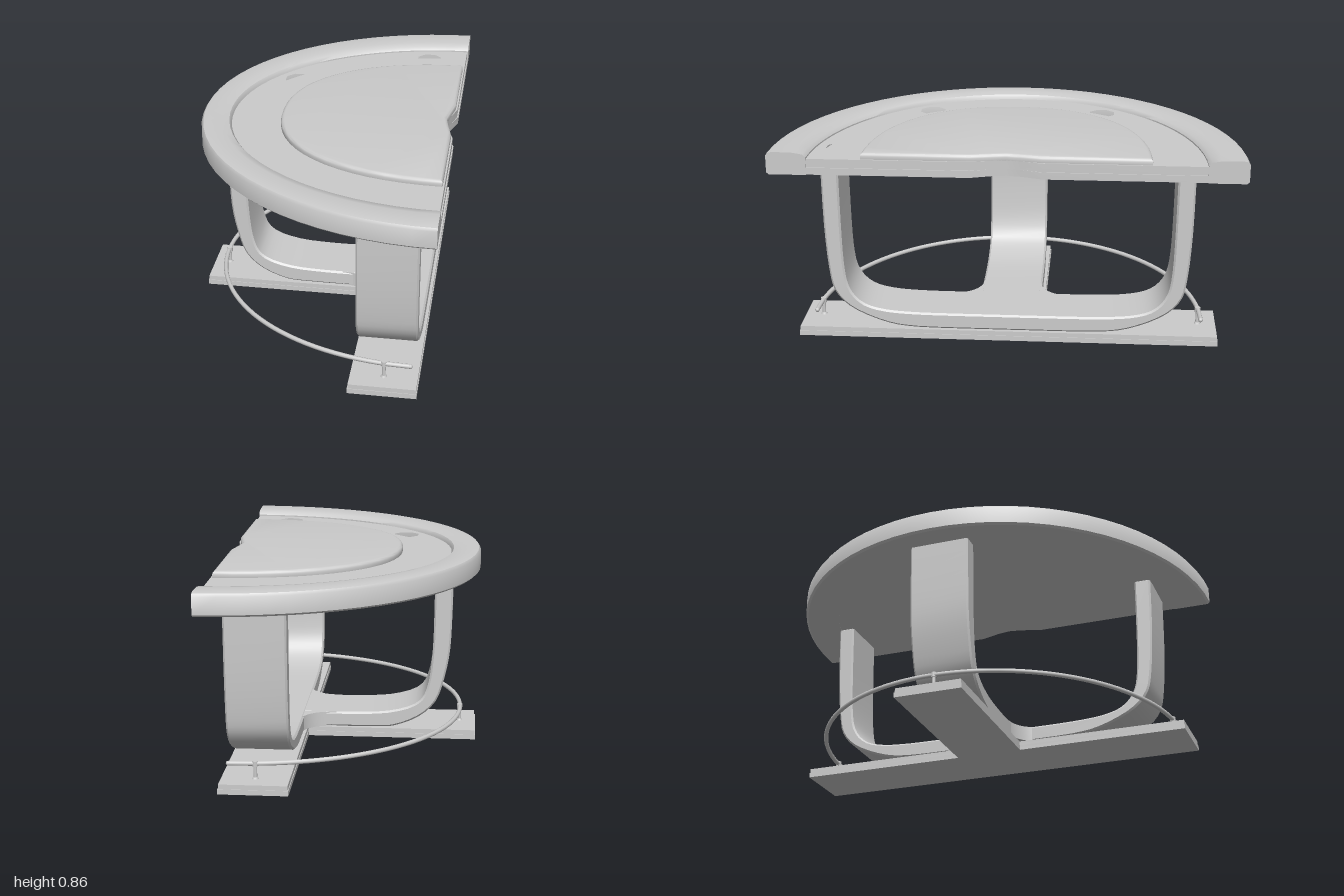
import * as THREE from 'three';
import { toCreasedNormals } from 'three/addons/utils/BufferGeometryUtils.js';

const material = new THREE.MeshStandardMaterial({ color: 0xcccccc });
const EDGE = 0.56; // x of the straight edge
const V = (x, y) => new THREE.Vector2(x, y);

// point on a half (super)ellipse bulging towards -x
function arcPoint(rx, rz, t, n = 2) {
  const c = Math.max(0, Math.cos(t)), s = Math.sin(t);
  return V(EDGE - rx * c ** (2 / n), Math.sign(s) * rz * Math.abs(s) ** (2 / n));
}

// half-moon outline with a shallow scoop in the straight edge
function halfMoon(rx, rz, n, edge = EDGE) {
  const pts = [];
  for (let i = 0; i <= 32; i++) {
    const p = arcPoint(rx, rz, (i / 32 - 0.5) * Math.PI, n);
    pts.push(V(Math.min(p.x, edge), p.y));
  }
  for (const [x, z] of [[edge, 0.15], [0.53, 0.06], [0.52, 0], [0.53, -0.06], [edge, -0.15]]) {
    pts.push(V(x, z));
  }
  return new THREE.Shape(pts);
}

// extrude a plan shape upwards from y0 to y1
function slab(shape, y0, y1, bevel = 0) {
  const geo = new THREE.ExtrudeGeometry(shape, {
    depth: y1 - y0 - bevel, bevelEnabled: bevel > 0, bevelSize: bevel,
    bevelThickness: bevel, bevelOffset: -bevel, bevelSegments: 3,
  });
  geo.rotateX(-Math.PI / 2).translate(0, y0, 0);
  return toCreasedNormals(geo, 0.6);
}

// sweep a [rx, rz, y] profile round the half ellipse and cap both ends
function sweptRail(profile, segs) {
  const pos = [], index = [], m = profile.length;
  for (let i = 0; i <= segs; i++) {
    for (const [rx, rz, y] of profile) {
      const p = arcPoint(rx, rz, (i / segs - 0.5) * Math.PI);
      pos.push(p.x, y, p.y);
    }
  }
  for (let i = 0; i < segs; i++) {
    for (let j = 0; j < m; j++) {
      const a = i * m + j, d = i * m + (j + 1) % m;
      index.push(a, a + m, d + m, a, d + m, d);
    }
  }
  const last = segs * m;
  for (let j = 1; j < m - 1; j++) {
    index.push(0, j, j + 1, last, last + j + 1, last + j);
  }
  const geo = new THREE.BufferGeometry();
  geo.setAttribute('position', new THREE.Float32BufferAttribute(pos, 3));
  geo.setIndex(index);
  return toCreasedNormals(geo, 0.7);
}

// bent flat strap from its side outline
function strap(points, width) {
  const geo = new THREE.ExtrudeGeometry(new THREE.Shape(points), {
    depth: width - 0.016, bevelSize: 0.008, bevelThickness: 0.008, bevelOffset: -0.008, bevelSegments: 1,
  });
  geo.translate(0, 0, -width / 2 + 0.008);
  return toCreasedNormals(geo, 0.6);
}

const smooth = (pts, n = 22) => new THREE.SplineCurve(pts.map(p => V(...p))).getPoints(n);

export function createModel() {
  const group = new THREE.Group();
  const add = (name, geo, x = 0, y = 0, z = 0) => {
    const mesh = new THREE.Mesh(geo, material);
    mesh.name = name;
    mesh.position.set(x, y, z);
    group.add(mesh);
    return mesh;
  };

  // table top: underside, recessed band with cup wells, raised centre, padded rim
  add('tableUnderside', slab(halfMoon(1.1, 0.985, 2), 0.765, 0.795));
  const band = halfMoon(1.02, 0.86, 2.1, 0.555);
  for (const [x, z] of [[0.38, 0.72], [0.38, -0.72], [-0.21, 0.39], [-0.21, -0.39]]) {
    const well = [];
    for (let i = 0; i < 8; i++) {
      const a = -(i + 0.5) * Math.PI / 4;
      well.push(V(x + 0.06 * Math.cos(a), z + 0.06 * Math.sin(a)));
    }
    band.holes.push(new THREE.Path(well));
  }
  add('playingBand', slab(band, 0.795, 0.832));
  add('raisedCentre', slab(halfMoon(0.77, 0.605, 2.2, 0.548), 0.83, 0.86, 0.015));
  add('paddedRim', sweptRail([
    [1.11, 0.99, 0.763], [1.12, 1.0, 0.772], [1.12, 1.0, 0.845], [1.112, 0.992, 0.857], [1.09, 0.97, 0.861],
    [1.03, 0.885, 0.859], [1.0, 0.845, 0.852], [0.99, 0.832, 0.838], [0.99, 0.832, 0.763],
  ], 36));

  // wide U-shaped pedestal across the table
  const outer = smooth([[0.79, 0.77], [0.785, 0.5], [0.77, 0.3], [0.745, 0.2], [0.67, 0.125],
    [0.53, 0.065], [0.4, 0.045], [0.2, 0.042]]);
  const inner = smooth([[0.2, 0.112], [0.4, 0.114], [0.54, 0.125], [0.63, 0.155], [0.685, 0.22],
    [0.705, 0.32], [0.712, 0.5], [0.715, 0.77]]);
  const flip = pts => pts.map(p => V(-p.x, p.y)).reverse();
  const uStrap = add('crossPedestal', strap([...outer, ...flip(outer), ...flip(inner), ...inner], 0.26), 0.35);
  uStrap.rotation.y = Math.PI / 2;

  // third leg curving down and running into the pedestal
  const legOuter = smooth([[-0.44, 0.77], [-0.438, 0.55], [-0.43, 0.4], [-0.405, 0.27], [-0.37, 0.17],
    [-0.3, 0.1], [-0.2, 0.055], [-0.1, 0.043], [0.26, 0.042]]);
  const legInner = smooth([[0.26, 0.11], [0, 0.11], [-0.17, 0.122], [-0.29, 0.165], [-0.335, 0.25],
    [-0.353, 0.4], [-0.358, 0.55], [-0.36, 0.77]]);
  add('roundSideLeg', strap([...legOuter, ...legInner], 0.27));

  // rounded gusset where leg and pedestal meet
  const gusset = new THREE.Shape();
  gusset.moveTo(0.24, -0.27);
  gusset.quadraticCurveTo(0.22, -0.13, 0.08, -0.13);
  gusset.lineTo(0.08, 0.13);
  gusset.quadraticCurveTo(0.22, 0.13, 0.24, 0.27);
  add('legGusset', slab(gusset, 0.042, 0.109));

  // floor plates, each a thin top sheet over a lower sheet
  for (const [name, y, inset] of [['lowerFloorPlate', 0.011, 0], ['upperFloorPlate', 0.032, 0.003]]) {
    const h = y < 0.02 ? 0.022 : 0.02;
    add(name + 'Cross', new THREE.BoxGeometry(0.29 - 2 * inset, h, 1.82 - 2 * inset), 0.35, y);
    add(name + 'Stem', new THREE.BoxGeometry(0.755 - inset, h, 0.3 - 2 * inset), -0.1725 + inset / 2, y);
  }

  // curved foot rail on three posts
  const railPoints = [];
  for (let i = 0; i <= 24; i++) {
    const p = arcPoint(0.94, 0.835, (i / 24 - 0.5) * Math.PI);
    railPoints.push(new THREE.Vector3(p.x - 0.1, 0.108, p.y));
  }
  const path = new THREE.CatmullRomCurve3(railPoints);
  add('footRail', new THREE.TubeGeometry(path, 60, 0.01, 8));
  for (const t of [0, 1]) {
    const end = path.getPoint(t);
    add('footRailEnd', new THREE.SphereGeometry(0.0105, 8, 6), end.x, end.y, end.z);
  }
  for (const [x, z] of [[-0.478, 0], [0.35, 0.828], [0.35, -0.828]]) {
    add('footRailPost', new THREE.CylinderGeometry(0.008, 0.008, 0.07, 10), x, 0.073, z);
    add('footRailCollar', new THREE.CylinderGeometry(0.013, 0.013, 0.022, 10), x, 0.108, z);
    add('footRailFoot', new THREE.CylinderGeometry(0.01, 0.014, 0.008, 10), x, 0.046, z);
  }
  return group;
}
